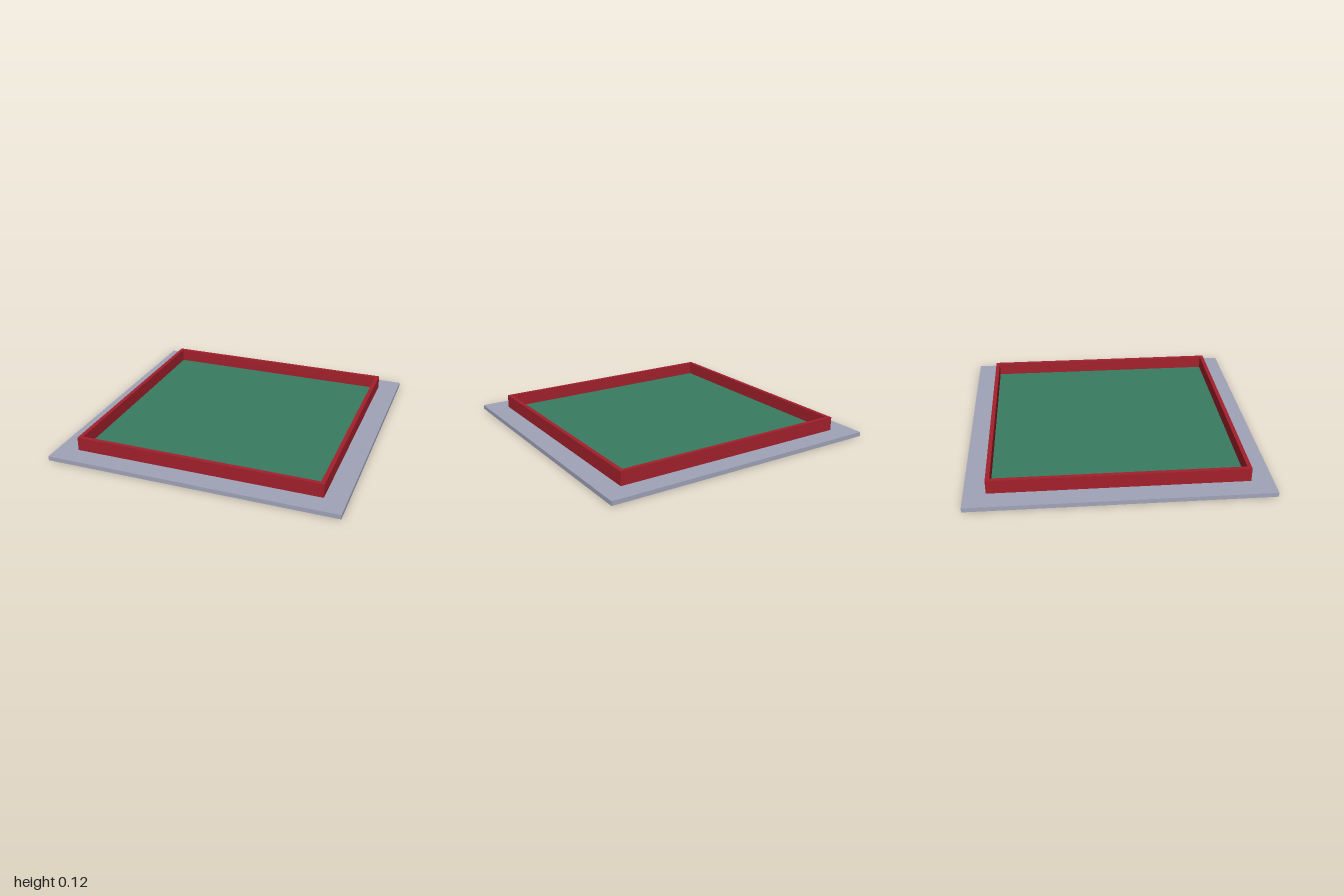
import * as THREE from 'three';

export function createModel() {
  const group = new THREE.Group();
  const material = (name, color) => {
    const m = new THREE.MeshStandardMaterial({ color });
    m.name = name;
    return m;
  };
  const grey = material('greyBlue', 0xa0a4b8);
  const red = material('red', 0xa3202c);
  const green = material('green', 0x387c60);

  const OUTER = 0.855, INNER = 0.827, BASE = 0.03, TOP = 0.125;

  const add = (name, geometry, mat, y) => {
    const mesh = new THREE.Mesh(geometry, mat);
    mesh.name = name;
    mesh.position.y = y;
    group.add(mesh);
  };
  const square = (Type, h) =>
    new Type([[-h, -h], [h, -h], [h, h], [-h, h]].map(([x, y]) => new THREE.Vector2(x, y)));

  // Flat square base
  add('base', new THREE.BoxGeometry(2, BASE, 2), grey, BASE / 2);

  // Raised rim, one square ring standing on the base
  const ring = square(THREE.Shape, OUTER);
  ring.holes.push(square(THREE.Path, INNER));
  const rim = new THREE.ExtrudeGeometry(ring, { depth: TOP - BASE, bevelEnabled: false });
  rim.rotateX(-Math.PI / 2);
  add('rim', rim, red, BASE);

  // Thin floor inside the rim
  add('floor', new THREE.BoxGeometry(INNER * 2, 0.004, INNER * 2), green, BASE + 0.002);

  return group;
}
